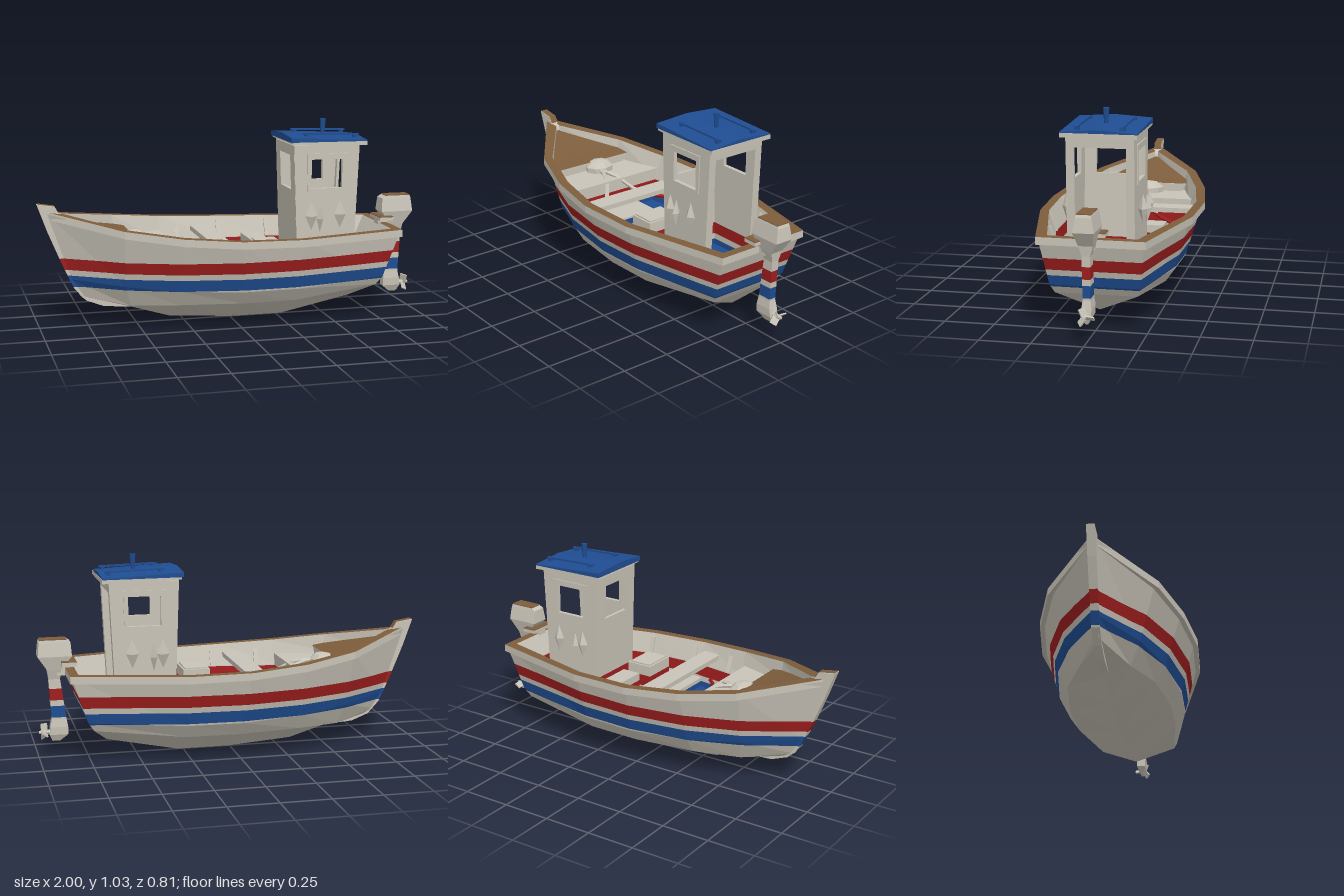
import * as THREE from 'three';

const mat = (name, color) => {
  const m = new THREE.MeshStandardMaterial({ color, side: THREE.DoubleSide });
  m.name = name;
  return m;
};

// Skin lofted through point rows; optional caps for closed rows
function loft(rows, caps = false) {
  const out = [];
  const tri = (a, b, c) => out.push(...a, ...b, ...c);
  for (let i = 0; i < rows.length - 1; i++) {
    const a = rows[i], b = rows[i + 1];
    for (let j = 0; j < a.length - 1; j++) {
      tri(a[j], a[j + 1], b[j + 1]);
      tri(a[j], b[j + 1], b[j]);
    }
  }
  if (caps) {
    const s = rows[0], e = rows[rows.length - 1];
    for (let j = 1; j < s.length - 2; j++) {
      tri(s[0], s[j + 1], s[j]);
      tri(e[0], e[j], e[j + 1]);
    }
  }
  const g = new THREE.BufferGeometry();
  g.setAttribute('position', new THREE.Float32BufferAttribute(out, 3));
  return g;
}

// Part of a polygon above (s = 1) or below (s = -1) a height
function clip(poly, h, s) {
  const out = [];
  poly.forEach((p, i) => {
    const q = poly[(i + 1) % poly.length];
    const dp = (p[1] - h) * s, dq = (q[1] - h) * s;
    if (dp >= 0) out.push(p);
    if (dp * dq < 0) out.push(p.map((v, k) => v + (q[k] - v) * dp / (dp - dq)));
  });
  return out;
}

// Paint bands by height: [low, high, material index]
const BANDS = [[-1, 0.21, 0], [0.21, 0.27, 1], [0.27, 0.30, 0], [0.30, 0.36, 2], [0.36, 2, 0]];

function banded(geometry) {
  const src = geometry.index ? geometry.toNonIndexed() : geometry;
  const p = src.attributes.position, out = [], g = new THREE.BufferGeometry();
  for (const [lo, hi, m] of BANDS) {
    const start = out.length / 3;
    for (let i = 0; i < p.count; i += 3) {
      const t = [0, 1, 2].map(k => [p.getX(i + k), p.getY(i + k), p.getZ(i + k)]);
      const poly = clip(clip(t, lo, 1), hi, -1);
      for (let k = 1; k < poly.length - 1; k++) out.push(...poly[0], ...poly[k], ...poly[k + 1]);
    }
    if (out.length / 3 > start) g.addGroup(start, out.length / 3 - start, m);
  }
  g.setAttribute('position', new THREE.Float32BufferAttribute(out, 3));
  g.computeVertexNormals();
  return g;
}

const box = (x0, x1, y0, y1, z0, z1) =>
  new THREE.BoxGeometry(x1 - x0, y1 - y0, z1 - z0).translate((x0 + x1) / 2, (y0 + y1) / 2, (z0 + z1) / 2);

// Extruded outline with optional rectangular hole [x0, x1, y0, y1]
function plate(points, depth, hole) {
  const s = new THREE.Shape(points.map(p => new THREE.Vector2(...p)));
  if (hole) {
    const [a, b, c, d] = hole;
    s.holes.push(new THREE.Path([[a, c], [a, d], [b, d], [b, c]].map(p => new THREE.Vector2(...p))));
  }
  return new THREE.ExtrudeGeometry(s, { depth, bevelEnabled: false });
}

export function createModel() {
  const boat = new THREE.Group();
  boat.name = 'boat';
  const white = mat('offWhite', 0xc9c4b8), blue = mat('blue', 0x1f4d92);
  const red = mat('red', 0xa01e1e), wood = mat('wood', 0x7d5d3c);
  const paint = [white, blue, red];
  const add = (name, g, m, parent = boat) => {
    if (m) { if (g.index) g = g.toNonIndexed(); g.computeVertexNormals(); }
    const mesh = new THREE.Mesh(m ? g : banded(g), m || paint);
    mesh.name = name;
    parent.add(mesh);
    return mesh;
  };
  const group = (name, parent = boat) => {
    const g = new THREE.Group();
    g.name = name;
    parent.add(g);
    return g;
  };
  const mirror = ([x, y, z]) => [x, y, -z];
  const bothSides = rows => rows.concat([...rows].reverse().map(r => r.map(mirror)));

  // Hull stations from bow to stern: sheer, waist, chine, keel
  const stations = [
    [[-0.95, 0.59, 0.02], [-0.84, 0.25, 0.015], [-0.79, 0.16, 0.01], [-0.77, 0.14, 0]],
    [[-0.60, 0.52, 0.25], [-0.58, 0.23, 0.175], [-0.55, 0.12, 0.125], [-0.53, 0.085, 0]],
    [[-0.32, 0.485, 0.345], [-0.32, 0.21, 0.265], [-0.32, 0.13, 0.215], [-0.33, 0.025, 0]],
    [[-0.03, 0.465, 0.388], [0, 0.2, 0.312], [0, 0.13, 0.26], [0, 0, 0]],
    [[0.29, 0.458, 0.373], [0.28, 0.2, 0.305], [0.28, 0.13, 0.255], [0.28, 0, 0]],
    [[0.85, 0.455, 0.25], [0.77, 0.22, 0.218], [0.74, 0.175, 0.2], [0.65, 0.075, 0]],
  ];
  add('hull', loft(stations.map(s => [...s, ...s.slice(0, 3).reverse().map(mirror)])));
  add('transom', loft(stations[5].map(p => [mirror(p), p])));

  // Gunwale path runs round the whole boat: inner and outer edge
  const rim = [
    [[-0.86, 0.585, 0.01], [-0.94, 0.597, 0.02]], [[-0.585, 0.53, 0.225], [-0.6, 0.53, 0.27]],
    [[-0.31, 0.495, 0.315], [-0.32, 0.495, 0.362]], [[-0.03, 0.476, 0.36], [-0.03, 0.476, 0.405]],
    [[0.285, 0.469, 0.345], [0.29, 0.469, 0.39]], [[0.815, 0.47, 0.215], [0.86, 0.47, 0.26]],
  ];
  const around = bothSides(rim);
  const down = ([x, y, z]) => [x, y - 0.037, z];
  add('gunwaleTop', loft(around), wood);
  add('gunwaleSides', loft(around.map(([i, o]) => [o, down(o), down(i), i])), white);

  // Inner lining (bottom, shelf height, rim) and floor
  const lining = [
    [[-0.83, 0.24, 0.005], [-0.86, 0.45, 0.007]], [[-0.58, 0.24, 0.145], [-0.585, 0.44, 0.212]],
    [[-0.32, 0.24, 0.26], [-0.315, 0.365, 0.276]], [[0, 0.24, 0.309], [-0.01, 0.365, 0.32]],
    [[0.28, 0.24, 0.3], [0.283, 0.365, 0.31]], [[0.757, 0.24, 0.189], [0.76, 0.365, 0.192]],
  ].map((r, i) => [...r, rim[i][0]]);
  add('innerWall', loft(bothSides(lining)));
  add('floor', loft(lining.map(([b]) => [mirror(b), b])));

  // Raised decks, each [x, bottom half-width, top half-width] at both ends
  const deck = (name, y0, y1, ends) => add(name, loft(ends.map(([x, b, t]) =>
    [[x, y1, -t], [x, y1, t], [x, y0, b], [x, y0, -b], [x, y1, -t]]), true));
  deck('bowPlatform', 0.23, 0.425, [[-0.58, 0.13, 0.21], [-0.32, 0.24, 0.298]]);
  deck('floorboard', 0.23, 0.28, [[-0.32, 0.13, 0.13], [-0.14, 0.13, 0.13]]);
  deck('midDeck', 0.23, 0.29, [[-0.04, 0.295, 0.312], [0.29, 0.29, 0.303]]);
  deck('bench', 0.41, 0.435, [[-0.14, 0.335, 0.345], [-0.04, 0.345, 0.355]]);
  deck('foredeckBulkhead', 0.42, 0.468, [[-0.535, 0.2, 0.225], [-0.525, 0.2, 0.23]]);
  add('foredeck', loft([[-0.9, 0.565, 0.008], [-0.6, 0.488, 0.217], [-0.52, 0.47, 0.248]]
    .map(p => [mirror(p), p])), wood);

  // Short ribs on the upper lining
  for (const [x, zt, zb] of [[-0.22, 0.325, 0.292], [0.02, 0.354, 0.32], [0.29, 0.34, 0.31], [0.55, 0.275, 0.25]])
    for (const s of [1, -1])
      add('rib', loft([[0.45, zt], [0.365, zb]].map(([y, z]) => [[1, -1], [1, 1], [-1, 1], [-1, -1], [1, -1]]
        .map(([i, j]) => [x + i * 0.012, y, s * z + j * 0.009])), true));

  // Stem post
  add('stemPost', plate([[-1, 0.64], [-0.95, 0.5], [-0.88, 0.33], [-0.82, 0.2], [-0.76, 0.135], [-0.67, 0.1],
    [-0.53, 0.09], [-0.6, 0.16], [-0.76, 0.25], [-0.87, 0.57], [-0.89, 0.59], [-0.91, 0.625]], 0.04).translate(0, 0, -0.02));
  add('stemCap', loft([[-0.998, 0.642, 0.02], [-0.91, 0.628, 0.02], [-0.89, 0.596, 0.02]].map(p => [mirror(p), p])), wood);

  // Storage boxes, buoy and ropes
  add('storageBox', box(0.12, 0.22, 0.28, 0.4, -0.23, -0.05));
  add('storageBox', box(0.1, 0.24, 0.28, 0.415, 0.02, 0.2));
  add('storageLid', box(0.11, 0.23, 0.415, 0.422, 0.03, 0.19));
  add('buoy', new THREE.SphereGeometry(0.07, 8, 5).scale(1, 0.7, 1.2).translate(-0.5, 0.437, -0.025));
  for (const s of [1, -1]) {
    const path = new THREE.CatmullRomCurve3([[-0.45, 0.44, 0], [-0.36, 0.43, 0.03], [-0.25, 0.355, 0.11], [-0.14, 0.32, 0.24]]
      .map(([x, y, z]) => new THREE.Vector3(x, y, z * s)));
    add('rope', new THREE.TubeGeometry(path, 8, 0.011, 5));
  }

  // Cabin walls with window and door openings
  const cabin = group('cabin');
  const hole = [0.39, 0.555, 0.69, 0.84];
  for (const s of [1, -1]) {
    add('cabinSide', plate([[0.32, 0.24], [0.62, 0.24], [0.65, 0.915], [0.297, 0.915]], 0.015, hole)
      .translate(0, 0, s > 0 ? 0.15 : -0.165), null, cabin);
    add('windowFrame', plate([[0.37, 0.675], [0.575, 0.675], [0.58, 0.87], [0.365, 0.87]], 0.006, hole)
      .translate(0, 0, s > 0 ? 0.165 : -0.171), white, cabin);
    // Hanging fenders
    for (const [x, y, r] of [[0.385, 0.55, 0.032], [0.432, 0.535, 0.018], [0.54, 0.555, 0.032]])
      add('fender', new THREE.OctahedronGeometry(1).scale(r, 0.072, 0.024).translate(x, y, s * 0.187), white, cabin);
  }
  add('cabinFront', plate([[-0.16, 0.24], [0.16, 0.24], [0.16, 0.915], [-0.16, 0.915]], 0.015, [-0.09, 0.09, 0.68, 0.86])
    .rotateY(-Math.PI / 2).rotateZ(0.036).translate(0.344, 0, 0), null, cabin);
  add('cabinBack', plate([[-0.165, 0.24], [-0.125, 0.24], [-0.125, 0.86], [0.125, 0.86], [0.125, 0.24], [0.165, 0.24],
    [0.165, 0.915], [-0.165, 0.915]], 0.015).rotateY(-Math.PI / 2).rotateZ(-0.044).translate(0.61, 0, 0), null, cabin);

  // Roof tipped down towards the stern; the blue top thins out aft
  const roof = group('roof', cabin);
  roof.position.set(0.48, 0.92, 0);
  roof.rotation.z = -0.03;
  add('roofSlab', loft([[-0.195, 0.008], [0.205, 0.018]].map(([x, y]) => [[x, y, -0.185], [x, y, 0.185],
    [x, -0.004, 0.185], [x, -0.004, -0.185], [x, y, -0.185]]), true), white, roof);
  add('roofTop', loft([[-0.205, 0.006, 0.03, 0.042], [0.203, 0.016, 0.022, 0.036]].map(([x, y0, y1, y2]) =>
    [[x, y1, -0.186], [x, y2, 0], [x, y1, 0.186], [x, y0, 0.186], [x, y0, -0.186], [x, y1, -0.186]]), true), blue, roof);
  for (const z of [-0.11, 0.11]) {
    add('roofRail', box(-0.12, 0.18, 0.04, 0.049, z - 0.007, z + 0.007), blue, roof);
    for (const x of [-0.1, 0.16]) add('railFoot', box(x - 0.01, x + 0.01, 0.02, 0.046, z - 0.013, z + 0.013), blue, roof);
  }
  add('lamp', new THREE.CylinderGeometry(0.016, 0.01, 0.078, 6).translate(0.02, 0.074, 0), blue, roof);

  // Outboard motor: sections [y, x0, x1, half-width] going down
  const motor = group('outboardMotor');
  const sections = [[0.613, 0.85, 0.985, 0.035], [0.6, 0.83, 0.99, 0.038], [0.53, 0.825, 0.997, 0.05], [0.46, 0.88, 0.95, 0.034],
    [0.41, 0.885, 0.943, 0.02], [0.2, 0.857, 0.932, 0.019], [0.16, 0.85, 0.94, 0.024], [0.12, 0.85, 0.945, 0.022], [0.085, 0.89, 0.93, 0.005]];
  add('motorBody', loft(sections.map(([y, a, b, w]) => [[b, y, -w], [b, y, w], [a, y, w], [a, y, -w], [b, y, -w]]), true), null, motor);
  add('motorCap', box(0.85, 0.985, 0.613, 0.617, -0.035, 0.035), wood, motor);
  add('motorBracket', box(0.81, 0.9, 0.43, 0.495, -0.03, 0.03), white, motor);
  add('motorClamp', box(0.805, 0.88, 0.485, 0.503, -0.075, 0.075), white, motor);
  add('clampTop', box(0.805, 0.88, 0.503, 0.507, -0.075, 0.075), wood, motor);
  add('propellerHub', new THREE.CylinderGeometry(0.008, 0.014, 0.06, 6).rotateZ(-Math.PI / 2).translate(0.967, 0.132, 0), white, motor);
  for (let i = 0; i < 3; i++)
    add('propellerBlade', new THREE.BoxGeometry(0.007, 0.04, 0.036).rotateY(0.9).translate(0, 0.025, 0)
      .rotateX(i * Math.PI * 2 / 3 + 0.4).translate(0.97, 0.132, 0), white, motor);

  return boat;
}
